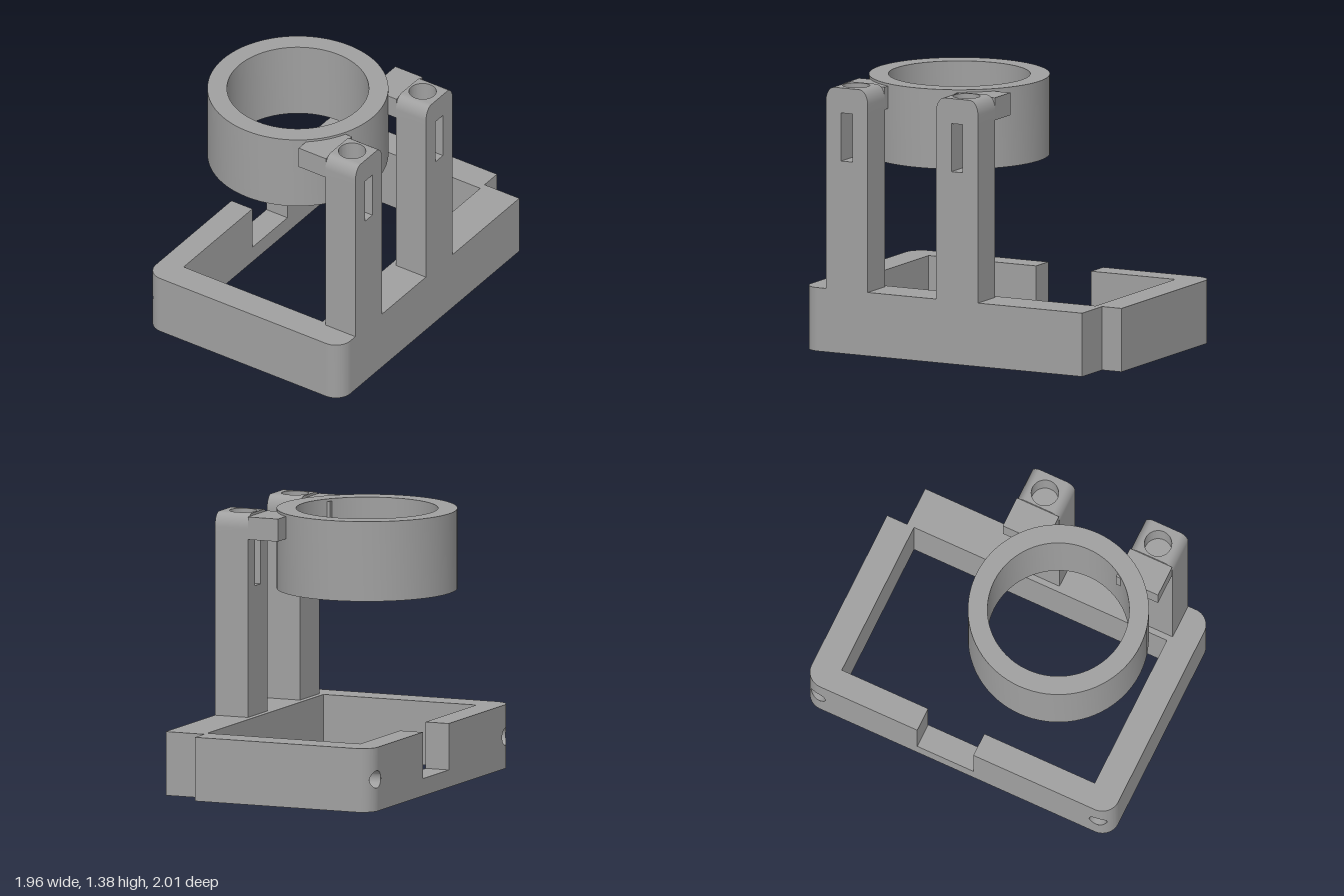
import * as THREE from 'three';
import { toCreasedNormals } from 'three/addons/utils/BufferGeometryUtils.js';

const grey = new THREE.MeshStandardMaterial({ color: 0xa0a0a0, side: THREE.DoubleSide });
grey.name = 'grey';

const BASE = 0.33, TOP = 1.38;          // heights of frame and mount
const U0 = -0.86, U1 = 0.877;           // frame ends
const IN0 = -0.707, IN1 = 0.725;        // opening ends
const V0 = -0.59, VI0 = -0.46, VI1 = 0.4, V1 = 0.615;
const R = 0.09;                         // corner radius

function add(parent, name, geometry) {
  const mesh = new THREE.Mesh(toCreasedNormals(geometry, 0.5), grey);
  mesh.name = name;
  parent.add(mesh);
  return mesh;
}

function box(parent, name, x0, x1, y0, y1, z0, z1) {
  const g = new THREE.BoxGeometry(x1 - x0, y1 - y0, z1 - z0);
  g.translate((x0 + x1) / 2, (y0 + y1) / 2, (z0 + z1) / 2);
  return add(parent, name, g);
}

// Plan outline (x, z) raised from y0 to y1
function prism(parent, name, shape, y0, y1) {
  const g = new THREE.ExtrudeGeometry(shape, { depth: y1 - y0, bevelEnabled: false, curveSegments: 40 });
  g.rotateX(Math.PI / 2).translate(0, y1, 0);
  return add(parent, name, g);
}

function circleHole(x, y, r) {
  return new THREE.Path().absarc(x, y, r, 0, Math.PI * 2, true);
}

// Rounded rear corner with a screw hole running into the side wall
function rearCorner(parent, inner, outer) {
  const s = Math.sign(outer), w = Math.abs(outer - inner);
  const hr = 0.045, hu = w / 2, hy = BASE / 2, depth = 0.2;
  const frontV = (u) => {
    const d = Math.max(0, u - (w - R));
    return V0 + R - Math.sqrt(Math.max(0, R * R - d * d));
  };
  const corner = new THREE.Group();
  corner.name = 'rearCorner';
  const pos = [], index = [], outline = [], N = 48;
  for (let i = 0; i <= N; i++) {
    const u = w * Math.sin((i / N) * Math.PI / 2);
    const h = Math.sqrt(Math.max(0, hr * hr - (u - hu) ** 2));
    const x = inner + s * u, z = frontV(u);
    outline.push(new THREE.Vector2(x, z));
    for (const y of [0, hy - h, hy + h, BASE]) pos.push(x, y, z);
    if (i < N) for (const k of [0, 2]) {
      const a = i * 4 + k, b = a + 1, c = a + 4, d = a + 5;
      if (s > 0) index.push(a, b, c, b, d, c);
      else index.push(a, c, b, b, c, d);
    }
  }
  const face = new THREE.BufferGeometry();
  face.setAttribute('position', new THREE.Float32BufferAttribute(pos, 3));
  face.setIndex(index);
  add(corner, 'cornerFace', face);
  // top and bottom caps
  const plan = new THREE.Shape([...outline, new THREE.Vector2(outer, VI0), new THREE.Vector2(inner, VI0)]);
  for (const y of [0, BASE]) {
    const cap = new THREE.ShapeGeometry(plan).rotateX(Math.PI / 2);
    if (y) cap.index.array.reverse();
    add(corner, 'cornerCap', cap.translate(0, y, 0));
  }
  // hole lining, its mouth trimmed to the curved face
  const bore = new THREE.CylinderGeometry(hr, hr, depth, 32, 1, true);
  bore.rotateX(Math.PI / 2).translate(inner + s * hu, hy, 0);
  const p = bore.attributes.position;
  for (let i = 0; i < p.count; i++) {
    p.setZ(i, p.getZ(i) > 0 ? V0 + depth : frontV(s * (p.getX(i) - inner)));
  }
  add(corner, 'screwHole', bore);
  const end = new THREE.CircleGeometry(hr, 32).rotateY(Math.PI);
  add(corner, 'screwHoleEnd', end.translate(inner + s * hu, hy, V0 + depth));
  parent.add(corner);
}

function buildFrame() {
  const frame = new THREE.Group();
  frame.name = 'baseFrame';
  // front bar, rounded at one end and stepped at the other
  const front = new THREE.Shape();
  front.moveTo(U0, VI1);
  front.lineTo(0.764, VI1);
  front.lineTo(0.764, V1);
  front.lineTo(U0 + R, V1);
  front.absarc(U0 + R, V1 - R, R, Math.PI / 2, Math.PI, false);
  prism(frame, 'frontBar', front, 0, BASE);
  // side walls start behind the corner hole so the bore stays open
  for (const [name, a, b, inner, outer] of [['leftWall', U0, IN0, IN0, U0], ['rightWall', IN1, U1, IN1, U1]]) {
    box(frame, name, a, b, 0, BASE, V0 + 0.2, VI1);
    for (const [x, z] of [[inner, VI0], [outer, V0 + R]]) {
      const side = box(frame, name + 'Skin', x - 0.0005, x + 0.0005, 0, BASE, z, V0 + 0.2);
      side.position.x = x === a ? 0.0005 : -0.0005;
    }
    for (const y of [0, BASE - 0.001]) box(frame, name + 'Cap', a, b, y, y + 0.001, VI0, V0 + 0.2);
    rearCorner(frame, inner, outer);
  }
  // rear bar with a cut-out
  box(frame, 'rearBar', IN0, -0.082, 0, BASE, V0, VI0);
  box(frame, 'rearBar', 0.236, IN1, 0, BASE, V0, VI0);
  box(frame, 'rearBarSill', -0.082, 0.236, 0, 0.09, V0, VI0);
  return frame;
}

function buildPost(u) {
  const post = new THREE.Group();
  post.name = 'post';
  const w = 0.1215, slot = 0.033, z0 = 0.43, z1 = V1, flat = 0.073;
  box(post, 'postShaft', -w, w, BASE, 1.0, z0, z1);
  for (const s of [-1, 1]) {
    // cheeks beside the slot
    const a = s * slot, b = s * w;
    box(post, 'slotCheek', Math.min(a, b), Math.max(a, b), 1.0, 1.25, z0, z1);
    // rounded shoulders
    const sh = new THREE.Shape();
    sh.moveTo(s * flat, 1.25);
    sh.lineTo(s * w, 1.25);
    for (let i = 0; i <= 12; i++) {
      const t = (i / 12) * Math.PI / 2;
      sh.lineTo(s * (flat + (w - flat) * Math.cos(t)), TOP - 0.075 + 0.075 * Math.sin(t));
    }
    const g = new THREE.ExtrudeGeometry(sh, { depth: z1 - z0, bevelEnabled: false });
    add(post, 'shoulder', g.translate(0, 0, z0));
  }
  // head with a vertical hole above the slot
  const head = new THREE.Shape();
  head.moveTo(-flat, z0);
  head.lineTo(flat, z0);
  head.lineTo(flat, z1);
  head.lineTo(-flat, z1);
  head.closePath();
  head.holes.push(circleHole(0, 0.512, 0.07));
  prism(post, 'postHead', head, 1.26, TOP);
  box(post, 'headFloor', -flat, flat, 1.25, 1.26, z0, z1);
  // arm reaching to the ring
  box(post, 'arm', -w + 0.003, w - 0.002, 1.25, 1.367, 0.262, z0);
  post.position.x = u;
  return post;
}

export function createModel() {
  const model = new THREE.Group();
  model.name = 'ringMount';
  const body = new THREE.Group();
  body.name = 'body';
  body.rotation.y = THREE.MathUtils.degToRad(46);
  model.add(body);

  body.add(buildFrame());
  for (const u of [-0.604, 0.037]) body.add(buildPost(u));

  // holder ring
  const ring = new THREE.Shape().absarc(-0.298, -0.032, 0.463, 0, Math.PI * 2, false);
  ring.holes.push(circleHole(-0.298, -0.032, 0.363));
  prism(body, 'ring', ring, 0.967, TOP);
  return model;
}
